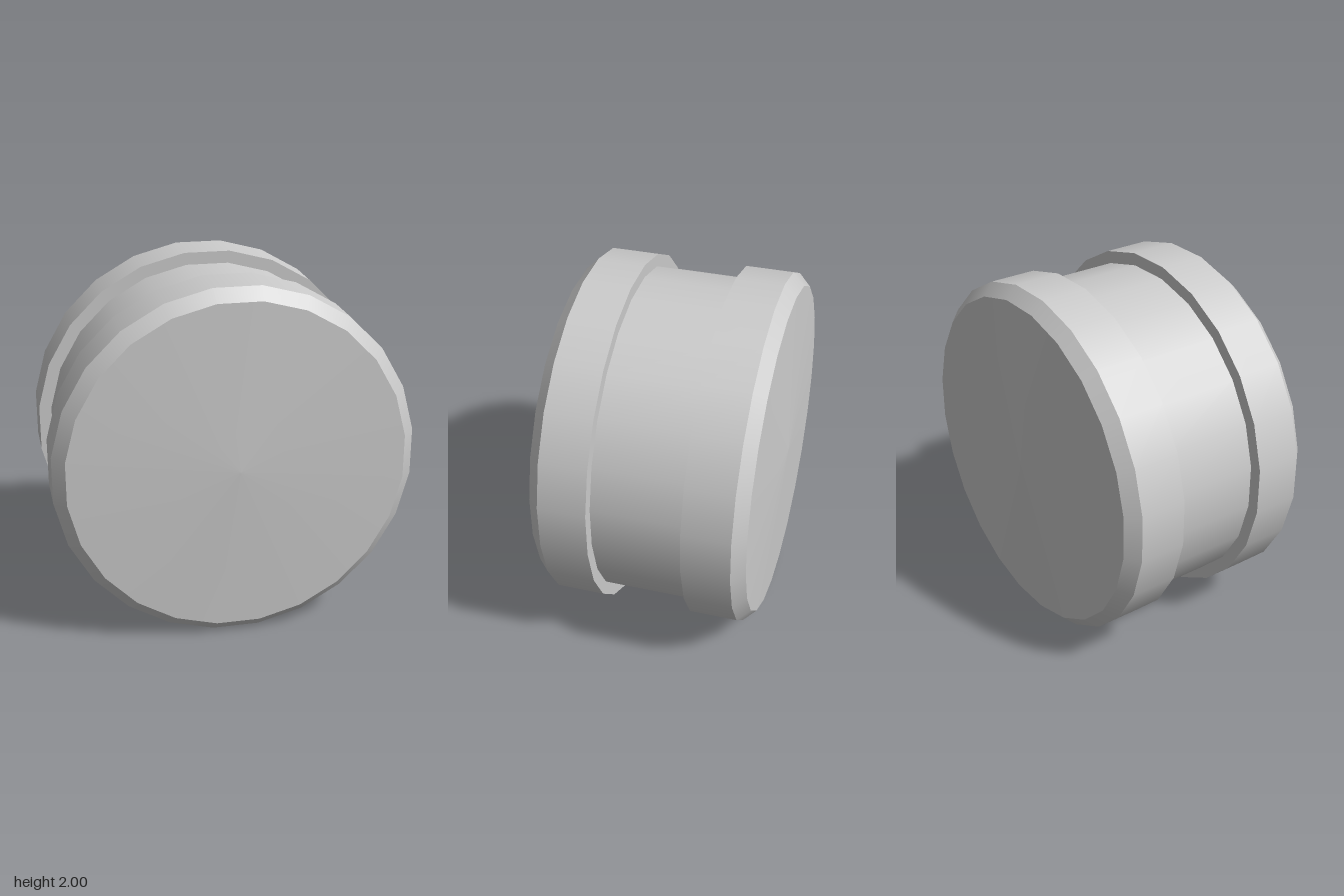
import * as THREE from 'three';
import { mergeGeometries } from 'three/addons/utils/BufferGeometryUtils.js';

const SIDES = 24;
const STEP = (Math.PI * 2) / SIDES;
const FLAT = 1 / Math.cos(STEP / 2); // turns half-width across flats into radius

// Revolve [half-width, z] points about z: smooth around, sharp between bands
function turned(name, profile, material) {
  const points = profile.map(([r, z]) => new THREE.Vector2(r * FLAT, z));
  const bands = points.slice(1).map((p, i) =>
    new THREE.LatheGeometry([points[i], p], SIDES, STEP / 2));
  const geometry = mergeGeometries(bands).rotateX(Math.PI / 2);
  const mesh = new THREE.Mesh(geometry, material);
  mesh.name = name;
  return mesh;
}

export function createModel() {
  const group = new THREE.Group();
  group.name = 'groovedRoller';
  const grey = new THREE.MeshStandardMaterial({ color: 0xcccccc });

  // Flange: inner shoulder, rim, chamfer and shallow domed face
  const flange = [[0.93, 0.255], [1, 0.255], [1, 0.522], [0.933, 0.59], [0, 0.622]];
  const mirrored = flange.map(([r, z]) => [r, -z]).reverse();

  group.add(turned('frontFlange', flange, grey));
  group.add(turned('backFlange', mirrored, grey));

  // Recessed drum between the flanges
  group.add(turned('drum', [[0.93, -0.255], [0.93, 0.255]], grey));

  group.position.y = 1;
  const model = new THREE.Group();
  model.add(group);
  return model;
}
